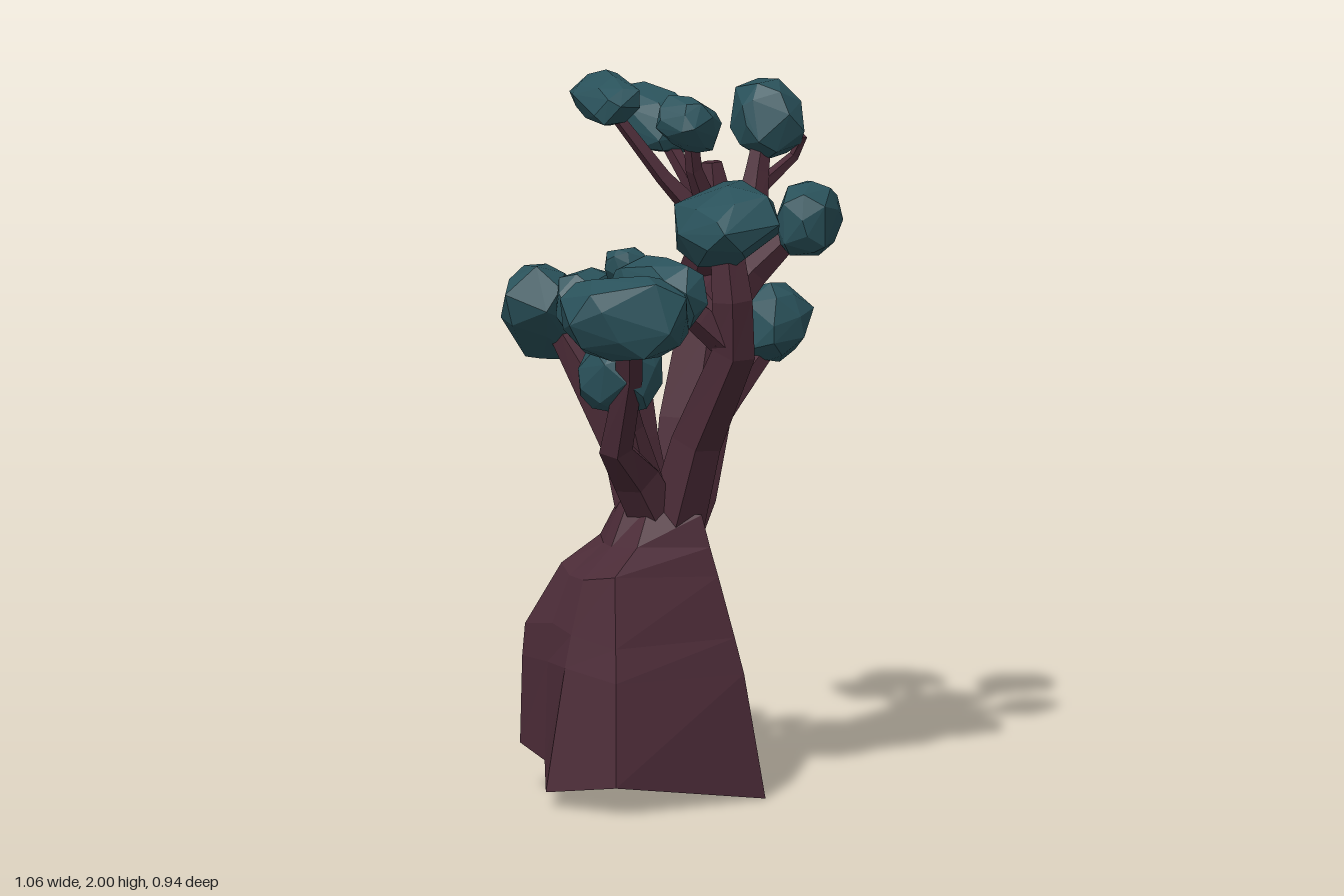
import * as THREE from 'three';
import { ConvexGeometry } from 'three/addons/geometries/ConvexGeometry.js';

const wood = new THREE.MeshStandardMaterial({ color: 0x4b2b37, flatShading: true, side: THREE.DoubleSide });
const leaf = new THREE.MeshStandardMaterial({ color: 0x2a525b, flatShading: true });

function seeded(seed) {
  let s = seed * 7919 + 17;
  return () => (s = (s * 16807) % 2147483647) / 2147483647;
}

// Joins rings of points (counter-clockwise seen from the tip); closed at the tip, open at the root.
function loft(rings, isHollow = () => false) {
  const pos = [];
  const tri = (a, b, c) => pos.push(...a, ...b, ...c);
  const quad = (a, b, c, d) => { tri(a, b, c); tri(a, c, d); };
  const n = rings[0].length;
  for (let j = 0; j < rings.length - 1; j++) {
    for (let i = 0; i < n; i++) {
      const k = (i + 1) % n;
      const q = [rings[j][i], rings[j][k], rings[j + 1][k], rings[j + 1][i]];
      if (!isHollow(j, i)) { quad(...q); continue; }
      // hollow: walls leading in to a smaller back wall
      const mid = [0, 1, 2].map(a => q.reduce((t, p) => t + p[a], 0) / 4);
      const inner = q.map(p => [
        mid[0] + (p[0] - mid[0]) * 0.6 + 0.04,
        mid[1] + (p[1] - mid[1]) * 0.7 - 0.02,
        mid[2] + 0.15]);
      for (let m = 0; m < 4; m++) quad(q[m], q[(m + 1) % 4], inner[(m + 1) % 4], inner[m]);
      quad(...inner);
    }
  }
  const last = rings[rings.length - 1];
  for (let i = 1; i < n - 1; i++) tri(last[0], last[i], last[i + 1]);
  const g = new THREE.BufferGeometry();
  g.setAttribute('position', new THREE.Float32BufferAttribute(pos, 3));
  g.computeVertexNormals();
  return g;
}

// Faceted limb through points [x, y, z, radius].
function branch(points, sides) {
  const P = points.map(p => new THREE.Vector3(p[0], p[1], p[2]));
  const rings = P.map((p, i) => {
    const d = P[Math.min(i + 1, P.length - 1)].clone().sub(P[Math.max(i - 1, 0)]).normalize();
    const u = new THREE.Vector3(0, 0, 1).addScaledVector(d, -d.z).normalize();
    const v = d.clone().cross(u);
    return Array.from({ length: sides }, (_, k) => {
      const a = (k + 0.5) / sides * Math.PI * 2, r = points[i][3];
      return p.clone().addScaledVector(u, Math.cos(a) * r).addScaledVector(v, Math.sin(a) * r).toArray();
    });
  });
  return loft(rings);
}

// Faceted clump: convex hull of jittered points on a boxy ellipsoid.
function clump(seed, hx, hy, hz) {
  const rnd = seeded(seed), n = 28, pts = [];
  const boxy = v => Math.sign(v) * Math.abs(v) ** 0.8;
  for (let i = 0; i < n; i++) {
    const y = 1 - 2 * (i + 0.5) / n, a = i * 2.39996 + rnd() * 0.7, r = Math.sqrt(1 - y * y);
    const p = new THREE.Vector3(boxy(Math.cos(a) * r), boxy(y), boxy(Math.sin(a) * r));
    p.multiplyScalar(0.93 + rnd() * 0.14);
    pts.push(p.multiply(new THREE.Vector3(hx, hy, hz)));
  }
  return new ConvexGeometry(pts);
}

export function createModel() {
  const tree = new THREE.Group();
  tree.name = 'tree';
  const add = (name, geometry, material, parent = tree) => {
    const m = new THREE.Mesh(geometry, material);
    m.name = name;
    parent.add(m);
    return m;
  };

  // Trunk: flared foot, swollen side, narrow neck; hollow in the back
  const trunkRings = [
    [[.06, 0, .38], [.085, .04, -.2], [-.1, .08, -.2], [-.38, .13, -.18], [-.4, .1, -.04], [-.51, .04, .11], [-.46, .08, .37]],
    [[.03, .35, .32], [.07, .35, -.17], [-.05, .35, -.17], [-.38, .38, -.17], [-.39, .38, -.04], [-.42, .38, .08], [-.4, .36, .29]],
    [[.02, .45, .29], [.07, .47, -.165], [-.04, .41, -.175], [-.37, .47, -.17], [-.38, .49, -.03], [-.39, .47, .07], [-.37, .45, .25]],
    [[0, .62, .24], [.085, .6, -.1], [-.03, .68, -.14], [-.28, .64, -.12], [-.32, .62, -.03], [-.34, .62, .06], [-.32, .64, .18]],
    [[-.01, .7, .215], [.09, .69, -.05], [-.02, .74, -.125], [-.15, .71, -.11], [-.2, .7, -.03], [-.225, .7, .04], [-.21, .71, .14]],
    [[-.02, .79, .19], [.1, .77, -.01], [-.01, .8, -.1], [-.09, .81, -.1], [-.14, .81, -.03], [-.165, .81, .03], [-.14, .81, .1]],
  ];
  add('trunk', loft(trunkRings, (j, i) => j === 2 && i === 2), wood);

  // Limbs and twigs
  const limbs = {
    rightLimb: [[-.01, .7, .04, .08], [.03, .82, .04, .095], [.085, 1.02, .015, .105], [.155, 1.27, -.015, .09], [.215, 1.5, -.045, .085], [.205, 1.74, -.06, .03]],
    frontLimb: [[-.05, .7, .08, .09], [-.025, 1.0, .17, .075], [0, 1.27, .31, .065], [-.02, 1.42, .33, .06], [-.02, 1.6, .3, .045]],
    leftLimb: [[-.06, .74, .06, .08], [-.17, .9, .08, .07], [-.28, 1.0, .13, .05], [-.3, 1.22, .22, .04], [-.34, 1.36, .27, .04]],
    backLimb: [[-.06, .7, -.02, .07], [-.085, .95, -.07, .07], [-.13, 1.12, -.15, .065], [-.19, 1.28, -.24, .04]],
    middleLimb: [[-.07, .74, .03, .07], [-.11, 1.0, .02, .055], [-.12, 1.22, .0, .045], [-.17, 1.4, -.08, .03]],
    innerBranch: [[0, 1.3, .32, .065], [.01, 1.38, .17, .07], [.03, 1.46, .09, .055], [.0, 1.6, .18, .035]],
    frontFork: [[-.0, 1.28, .31, .05], [-.09, 1.37, .27, .045], [-.17, 1.44, .24, .03]],
    lowerLeftTwig: [[-.13, .88, .08, .05], [-.2, 1.05, .11, .03], [-.26, 1.18, .14, .025]],
    lowRightBranch: [[.09, 1.0, .01, .08], [.2, 1.09, .03, .045], [.35, 1.2, 0, .03]],
    midRightBranch: [[.16, 1.3, -.01, .07], [.27, 1.44, .05, .05], [.37, 1.57, .14, .03]],
    highRightBranch: [[.19, 1.38, -.03, .08], [.31, 1.56, -.02, .055], [.35, 1.7, -.04, .035], [.39, 1.82, -.06, .025]],
    outerTwig: [[.35, 1.65, -.04, .025], [.45, 1.74, 0, .015], [.46, 1.8, .03, .012]],
    backTwig: [[.21, 1.55, -.05, .04], [.2, 1.68, -.16, .025], [.2, 1.81, -.3, .02]],
    bareTwig: [[.19, 1.46, -.08, .035], [.23, 1.57, -.17, .022], [.25, 1.67, -.24, .012]],
    crownTwig: [[.2, 1.55, -.05, .04], [.08, 1.7, -.12, .024], [-.03, 1.88, -.2, .018]],
    crownSideTwig: [[.19, 1.6, -.05, .035], [.12, 1.73, -.03, .024], [.09, 1.85, -.01, .02]],
  };
  const branches = new THREE.Group();
  branches.name = 'branches';
  tree.add(branches);
  for (const [name, pts] of Object.entries(limbs)) add(name, branch(pts, pts[0][3] > 0.045 ? 5 : 4), wood, branches);

  // Leaf clumps: centre, half sizes, yaw, pitch, roll
  const clumps = [
    [.215, 1.825, -.325, .105, .08, .145, .12, .35, 0],
    [.41, 1.845, -.075, .1, .11, .145, -.3, 0, 0],
    [.38, 1.59, .16, .12, .105, .09, .6, 0, .25],
    [.36, 1.275, 0, .105, .115, .12, .2, 0, -.2],
    [-.045, 1.925, -.22, .085, .065, .14, -.25, .12, .25],
    [.09, 1.865, -.015, .1, .075, .085, .4, 0, -.5],
    [-.005, 1.625, .27, .145, .105, .215, -.4, 0, .4],
    [-.36, 1.4, .28, .185, .125, .12, -.6, 0, 0],
    [-.2, 1.45, .23, .085, .105, .17, .05, 0, .2],
    [-.27, 1.21, .14, .115, .11, .11, .2, 0, 0],
    [-.2, 1.325, -.3, .2, .11, .115, .65, 0, -.6],
    [-.19, 1.37, -.12, .115, .1, .06, .15, 0, 0],
    [-.16, 1.49, .02, .065, .055, .045, -.5, 0, 0],
    [-.07, 1.36, .03, .07, .08, .08, .3, 0, .3],
    [-.13, 1.16, .0, .05, .11, .06, 0, 0, .2],
  ];
  const foliage = new THREE.Group();
  foliage.name = 'foliage';
  tree.add(foliage);
  clumps.forEach(([x, y, z, hx, hy, hz, yaw, pitch, roll], i) => {
    const m = add('leafClump' + (i + 1), clump(i + 1, hx, hy, hz), leaf, foliage);
    m.position.set(x, y, z);
    m.rotation.set(pitch, yaw, roll, 'YXZ');
  });
  return tree;
}
